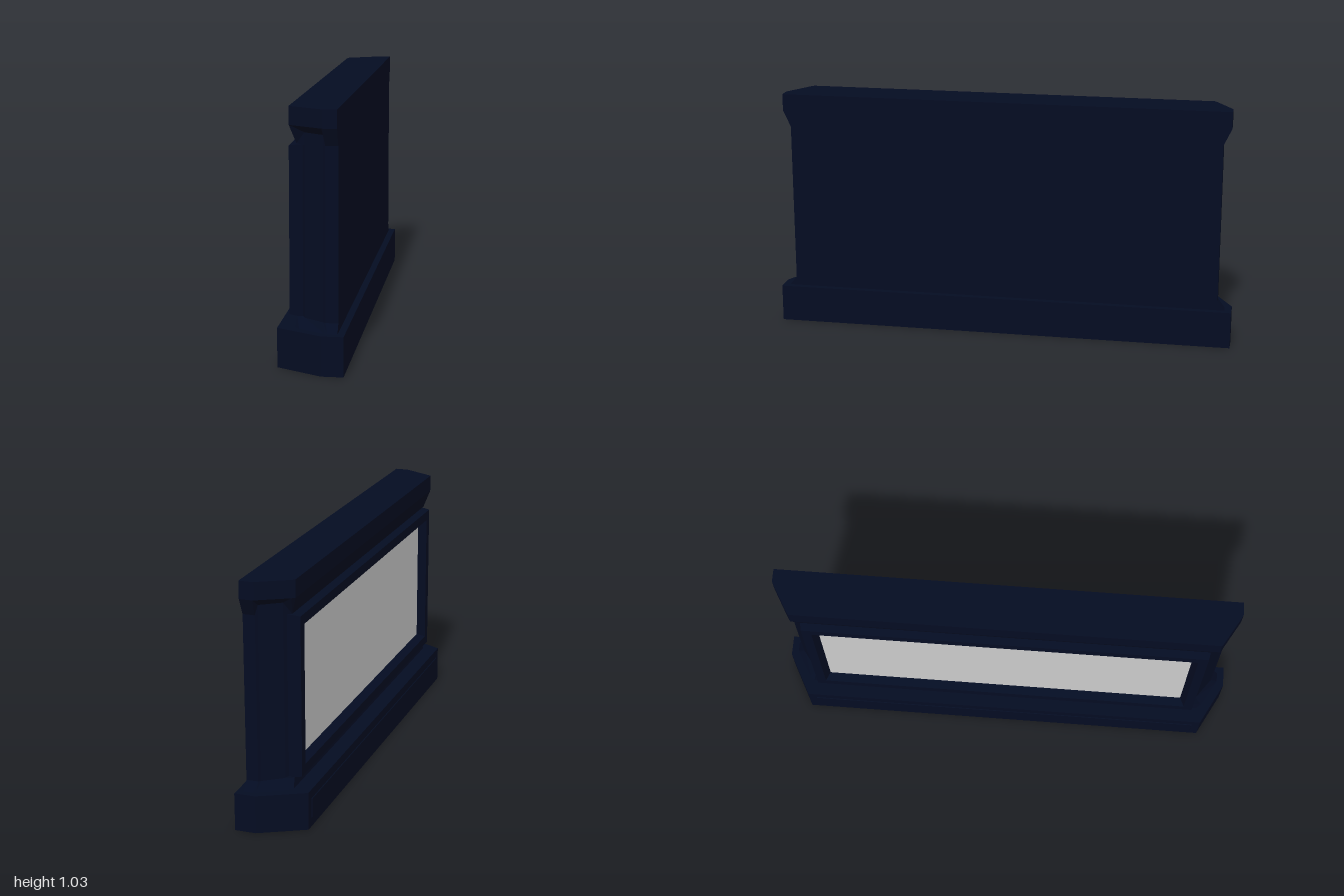
import * as THREE from 'three';

const dark = new THREE.MeshStandardMaterial({ color: 0x040c22, flatShading: true });
const grey = new THREE.MeshStandardMaterial({ color: 0xcccccc });

// Skins a stack of equal-length rings of [x, y, z] points, closing the ends on request
function loft(name, rings, closed = true) {
  const pos = [];
  const tri = (...points) => points.forEach((p) => pos.push(...p));
  const n = rings[0].length;
  for (let r = 0; r < rings.length - 1; r++) {
    const low = rings[r], high = rings[r + 1];
    for (let i = 0; i < n; i++) {
      const j = (i + 1) % n;
      tri(low[i], high[i], high[j]);
      tri(low[i], high[j], low[j]);
    }
  }
  if (closed) {
    const bottom = rings[0], top = rings[rings.length - 1];
    for (let i = 1; i < n - 1; i++) {
      tri(bottom[0], bottom[i], bottom[i + 1]);
      tri(top[0], top[i + 1], top[i]);
    }
  }
  const geometry = new THREE.BufferGeometry();
  geometry.setAttribute('position', new THREE.Float32BufferAttribute(pos, 3));
  geometry.computeVertexNormals();
  const mesh = new THREE.Mesh(geometry, dark);
  mesh.name = name;
  return mesh;
}

// Mirrors a half outline (back to face, +z side) into a full ring
const mirrored = (half) => [...half, ...half.map(([x, y, z]) => [x, y, -z]).reverse()];
const level = (y, outline) => mirrored(outline.map(([x, z]) => [x, y, z]));

// Upright rectangle facing -x
const rect = (x, z, y0, y1) => [[x, y0, -z], [x, y1, -z], [x, y1, z], [x, y0, z]];

export function createModel() {
  const group = new THREE.Group();
  group.name = 'displayWall';

  // Plinth with chamfered ends
  const plinth = [[0.138, 1], [0.05, 1], [-0.137, 0.9]];
  group.add(loft('base', [level(0, plinth), level(0.16, plinth)]));

  // Thin raised strip along the plinth face
  group.add(loft('baseStrip', [
    rect(-0.13, 0.87, 0.035, 0.125),
    rect(-0.14, 0.865, 0.04, 0.12),
  ]));

  // Wall body: flared foot, shaft set back behind the frame, cove under the cap
  const corner = [[0.11, 0.94], [0.06, 0.94], [0.05, 0.931], [-0.03, 0.872]];
  const shaft = [...corner, [-0.04, 0.86]];
  const neck = [...corner, [-0.063, 0.86]];
  const foot = [[0.11, 0.97], [0.07, 0.97], [0.06, 0.965], [-0.05, 0.9], [-0.068, 0.88]];
  const cap = [[0.11, 0.973], [0.055, 0.973], [0.05, 0.971], [-0.075, 0.898], [-0.088, 0.888]];
  const coveStart = [0.89, 0.89, 0.93, 0.93, 0.885];
  group.add(loft('body', [
    level(0.16, foot),
    level(0.197, neck),
    level(0.2, shaft),
    level(0.88, shaft),
    mirrored(neck.map(([x, z], i) => [x, coveStart[i], z])),
    level(0.96, cap),
  ]));

  // Cap slab
  group.add(loft('cap', [level(0.96, cap), level(1.033, cap)]));

  // Raised frame with a bevel falling to the panel
  group.add(loft('frame', [
    rect(-0.04, 0.86, 0.2, 0.88),
    rect(-0.063, 0.86, 0.2, 0.88),
    rect(-0.094, 0.855, 0.205, 0.875),
    rect(-0.094, 0.815, 0.245, 0.833),
    rect(-0.058, 0.796, 0.26, 0.815),
  ], false));

  // Display panel
  const panel = new THREE.Mesh(new THREE.BoxGeometry(0.018, 0.555, 1.592), grey);
  panel.position.set(-0.049, 0.5375, 0);
  panel.name = 'panel';
  group.add(panel);

  return group;
}
